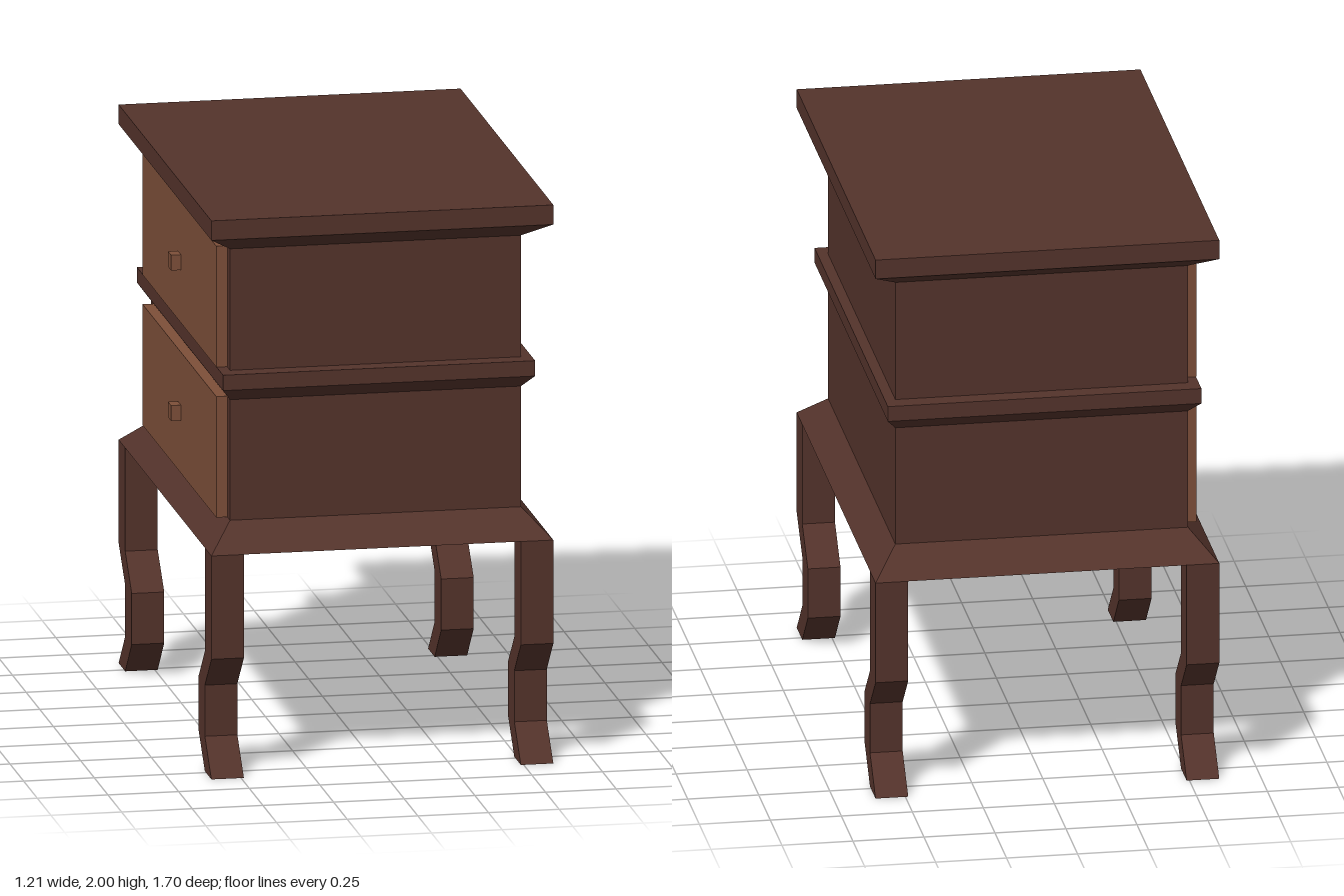
import * as THREE from 'three';

const wood = new THREE.MeshStandardMaterial({ color: 0x54332b, flatShading: true });
const drawerWood = new THREE.MeshStandardMaterial({ color: 0x7d4f39, flatShading: true });

// Box whose bottom and top rectangles may differ: [halfX, halfZ] at y0 and y1
function taperedBox(name, y0, y1, bottom, top) {
  const geo = new THREE.BoxGeometry(2, y1 - y0, 2);
  geo.translate(0, (y0 + y1) / 2, 0);
  const p = geo.attributes.position;
  const mid = (y0 + y1) / 2;
  for (let i = 0; i < p.count; i++) {
    const [hx, hz] = p.getY(i) > mid ? top : bottom;
    p.setX(i, p.getX(i) * hx);
    p.setZ(i, p.getZ(i) * hz);
  }
  geo.computeVertexNormals();
  const mesh = new THREE.Mesh(geo, wood);
  mesh.name = name;
  return mesh;
}

function box(name, size, pos) {
  const mesh = new THREE.Mesh(new THREE.BoxGeometry(...size), drawerWood);
  mesh.position.set(...pos);
  mesh.name = name;
  return mesh;
}

export function createModel() {
  const model = new THREE.Group();
  model.name = 'nightstand';

  const body = [0.515, 0.725];
  const wide = [0.605, 0.85];
  const band = [0.552, 0.79];

  // Cabinet from the flared base up to the table top
  model.add(
    taperedBox('flaredBase', 0.8, 0.893, wide, body),
    taperedBox('lowerCase', 0.893, 1.325, body, body),
    taperedBox('middleMouldingSlope', 1.325, 1.375, body, band),
    taperedBox('middleMouldingEdge', 1.375, 1.43, band, band),
    taperedBox('upperCase', 1.43, 1.865, body, body),
    taperedBox('topMouldingSlope', 1.865, 1.93, body, wide),
    taperedBox('tableTop', 1.93, 2, wide, wide)
  );

  // Two drawers on the -x side, each with a square knob
  for (const [name, y] of [['lower', 1.109], ['upper', 1.6475]]) {
    model.add(
      box(name + 'Drawer', [0.04, 0.433, 1.35], [-0.534, y, 0]),
      box(name + 'Knob', [0.036, 0.055, 0.055], [-0.571, y, 0])
    );
  }

  // Curved legs: side profile as (z, y), extruded across x
  const outer = [[0.85, 0.8], [0.85, 0.43], [0.73, 0.308], [0.73, 0.125], [0.85, 0]];
  const inner = [[0.73, 0], [0.61, 0.125], [0.61, 0.308], [0.73, 0.43], [0.73, 0.8]];
  for (const sz of [1, -1]) {
    const shape = new THREE.Shape([...outer, ...inner].map(([z, y]) => new THREE.Vector2(-z * sz, y)));
    const geo = new THREE.ExtrudeGeometry(shape, { depth: 0.115, bevelEnabled: false });
    geo.rotateY(Math.PI / 2); // profile axis becomes -z, depth becomes +x
    for (const sx of [1, -1]) {
      const leg = new THREE.Mesh(geo, wood);
      leg.position.x = sx > 0 ? 0.49 : -0.605;
      leg.name = (sz > 0 ? 'front' : 'back') + (sx > 0 ? 'Left' : 'Right') + 'Leg';
      model.add(leg);
    }
  }

  return model;
}
